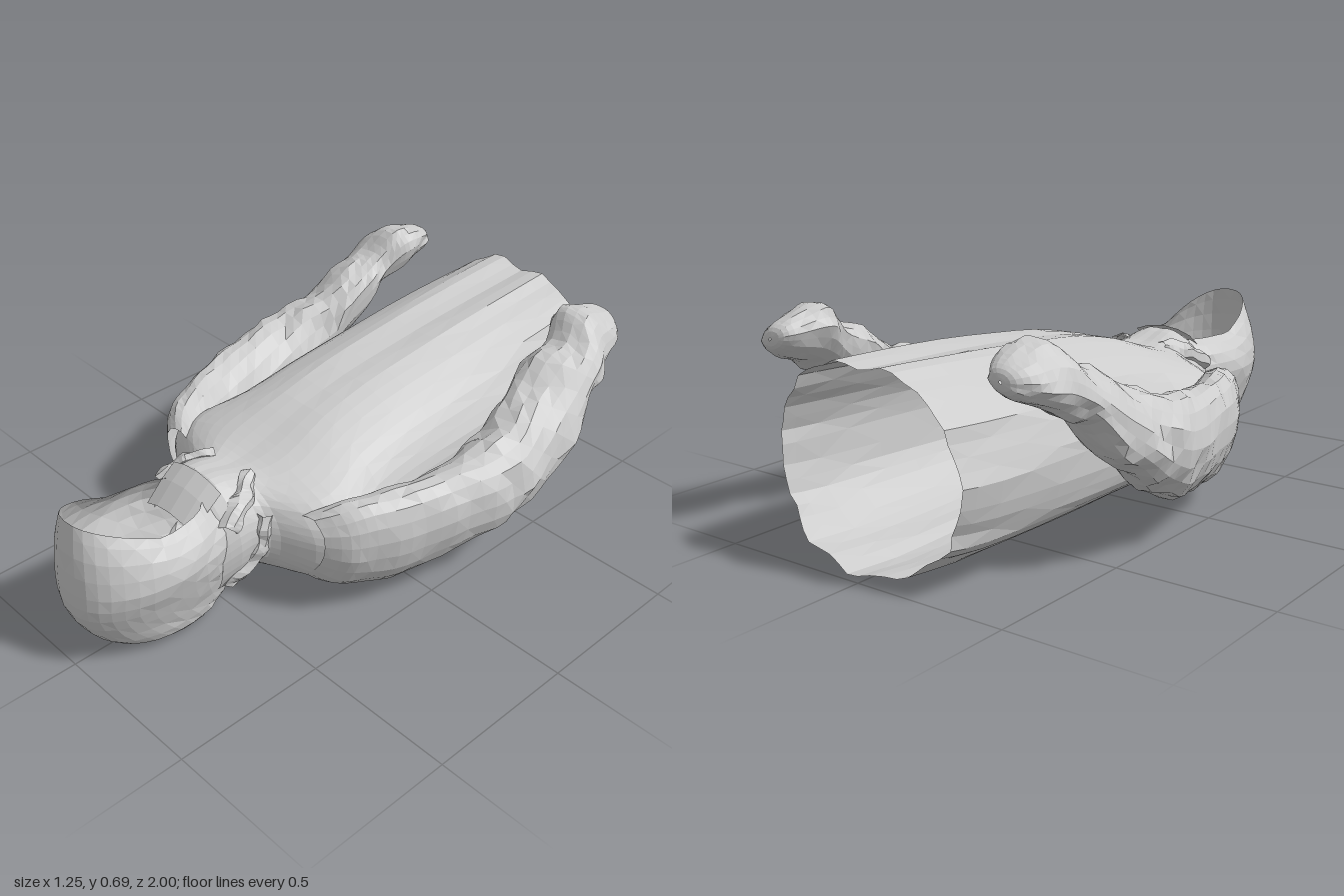
import * as THREE from 'three';

const cloth = new THREE.MeshStandardMaterial({ color: 0xcccccc, flatShading: true, side: THREE.DoubleSide });

// Smooth, repeatable crumple in about -1..1
const crumple = (a, b, c) =>
  (Math.sin(a * 3.1 + b * 5.3 + c) + Math.sin(a * 7.7 - b * 4.1 + c * 2.3) + Math.sin(a * 1.7 + b * 11.9 - c)) / 3;

const signedPow = (v, e) => Math.sign(v) * Math.abs(v) ** e;

// Catmull-Rom resampling of rows of section numbers
function resample(rows, steps) {
  const out = [];
  const at = i => rows[Math.min(rows.length - 1, Math.max(0, i))];
  for (let k = 0; k <= (rows.length - 1) * steps; k++) {
    const i = Math.floor(k / steps), t = (k % steps) / steps;
    const [p, q, r, s] = [at(i - 1), at(i), at(i + 1), at(i + 2)];
    out.push(q.map((v, c) => v + 0.5 * t * (r[c] - p[c] +
      t * (2 * p[c] - 5 * v + 4 * r[c] - s[c] + t * (3 * (v - r[c]) + s[c] - p[c])))));
  }
  return out;
}

// Skin a list of point rings; each ring repeats its first point when it is closed
function loft(name, rings, flip = false) {
  const n = rings[0].length, index = [];
  for (let i = 0; i < rings.length - 1; i++) {
    for (let j = 0; j < n - 1; j++) {
      const a = i * n + j, b = a + 1, d = a + n, c = d + 1;
      if (flip) index.push(a, c, b, a, d, c);
      else if ((i + j) % 2) index.push(a, b, c, a, c, d);
      else index.push(a, b, d, b, c, d);
    }
  }
  const indexed = new THREE.BufferGeometry();
  indexed.setAttribute('position', new THREE.Float32BufferAttribute(rings.flat(2), 3));
  indexed.setIndex(index);
  const geometry = indexed.toNonIndexed();
  geometry.computeVertexNormals();
  const mesh = new THREE.Mesh(geometry, cloth);
  mesh.name = name;
  return mesh;
}

// Body tube from open hem over the shoulders to the neck:
// z, half width, bottom y, top y, squareness of the back (lower is squarer)
function makeTorso() {
  const rows = resample([
    [-0.965, 0.335, 0.02, 0.62, 0.78], [-0.8, 0.345, 0.004, 0.61, 0.75], [-0.55, 0.35, 0.004, 0.592, 0.7],
    [-0.3, 0.347, 0.01, 0.568, 0.65], [-0.1, 0.345, 0.018, 0.545, 0.6], [0.08, 0.355, 0.03, 0.505, 0.5],
    [0.2, 0.405, 0.045, 0.465, 0.5], [0.28, 0.405, 0.06, 0.442, 0.55], [0.34, 0.335, 0.078, 0.43, 0.65],
    [0.39, 0.235, 0.09, 0.43, 0.8], [0.43, 0.195, 0.088, 0.44, 0.9], [0.5, 0.185, 0.05, 0.455, 1],
    [0.56, 0.165, 0.03, 0.42, 1]], 2);
  const n = 48;
  const rings = rows.map(([z, w, y0, y1, square], i) => {
    const ring = [];
    const pleat = THREE.MathUtils.clamp((0.35 - z) / 1.3, 0.2, 1);
    for (let j = 0; j <= n; j++) {
      const t = (j % n) / n * Math.PI * 2, c = Math.cos(t), s = Math.sin(t);
      const fold = 1 + pleat * (0.018 * Math.sin(11 * t + z * 1.5) + 0.025 * crumple(3 * c, 2 * s + z * 0.5, 1)) - 0.015 * pleat;
      const dip = s > 0 ? 0.03 * pleat * Math.exp(-((c / 0.16) ** 2)) : 0;
      const hem = i === 0 ? 0.02 * c * c - (s < 0 ? 0.03 * s * s : 0.008) + 0.006 * Math.sin(9 * t) : 0;
      const rise = signedPow(s, s < 0 ? square : 1);
      ring.push([w * c * fold, Math.max(0, (y0 + y1) / 2 + (y1 - y0) / 2 * rise * fold - dip), z + hem]);
    }
    return ring;
  });
  return loft('torso', rings);
}

// Bent sleeve with a closed cuff: z, centre x, centre y, half width, half height
function makeSleeve(side) {
  const rows = resample([
    [-0.895, 0.42, 0.6, 0.004, 0.004], [-0.885, 0.42, 0.6, 0.045, 0.033],
    [-0.84, 0.425, 0.597, 0.075, 0.06], [-0.76, 0.43, 0.593, 0.095, 0.093],
    [-0.71, 0.445, 0.573, 0.102, 0.102], [-0.65, 0.462, 0.53, 0.096, 0.085],
    [-0.58, 0.472, 0.47, 0.112, 0.122], [-0.48, 0.482, 0.405, 0.116, 0.132],
    [-0.38, 0.488, 0.345, 0.122, 0.145], [-0.27, 0.492, 0.3, 0.126, 0.158],
    [-0.16, 0.482, 0.275, 0.12, 0.16], [-0.02, 0.452, 0.255, 0.115, 0.165],
    [0.12, 0.412, 0.245, 0.108, 0.17], [0.22, 0.37, 0.245, 0.105, 0.165],
    [0.29, 0.33, 0.245, 0.105, 0.145], [0.34, 0.28, 0.25, 0.09, 0.11]], 3);
  const n = 18;
  const rings = rows.map(([z, cx, cy, rx, ry]) => {
    const ring = [];
    const bunch = z > -0.2 ? 0.035 : 0.08;
    // Upper arm rises outward, forearm leans inward
    const shear = 0.45 * THREE.MathUtils.smoothstep(z, -0.35, 0);
    const lean = 0.4 * THREE.MathUtils.smoothstep(-z, 0.3, 0.5);
    for (let j = 0; j <= n; j++) {
      const t = (j % n) / n * Math.PI * 2;
      const f = 1 + bunch * crumple(Math.sin(t) * 1.3, z * 4 + Math.cos(t), side + 2)
        + bunch * 0.5 * Math.sin(z * 38 + 3 * Math.cos(t + side));
      const dx = rx * Math.cos(t) * f, dy = ry * Math.sin(t) * f;
      ring.push([side * (cx + dx - lean * dy), cy + dy + shear * dx, z]);
    }
    return ring;
  });
  return loft(side > 0 ? 'leftSleeve' : 'rightSleeve', rings, side < 0);
}

// Hood bowl, face opening upward: y, lift at crown, centre z, half width, half length, gap at neck
function makeHood() {
  const rows = resample([
    [0.008, 0, 0.66, 0, 0, 0], [0.01, 0, 0.66, 0.095, 0.12, 0],
    [0.035, 0.005, 0.68, 0.132, 0.205, 0.2], [0.11, 0, 0.69, 0.148, 0.262, 0.6],
    [0.2, 0, 0.7, 0.176, 0.292, 0.8], [0.29, 0, 0.71, 0.2, 0.285, 0.8],
    [0.36, 0.06, 0.72, 0.178, 0.265, 0.7], [0.41, 0.11, 0.74, 0.13, 0.228, 0.45]], 2);
  const n = 28;
  const rings = rows.map(([y, lift, cz, hx, hz, gap]) => {
    const ring = [];
    for (let j = 0; j <= n; j++) {
      const t = (j / n * 2 - 1) * (Math.PI - gap);
      const c = Math.cos(t), s = Math.sin(t);
      const f = 1 + 0.03 * crumple(s * 2, y * 6 + c, 4) * (1 - c) / 1.4;
      ring.push([hx * signedPow(s, 0.85) * f, y + lift * Math.max(0, c), cz + hz * c * f]);
    }
    return ring;
  });
  return loft('hood', rings);
}

// Bunched cloth sunk into the seam between hood, neck and shoulder
function makeFold(side, name, points, radius) {
  const path = new THREE.CatmullRomCurve3(points.map(([x, y, z]) => new THREE.Vector3(side * x, y, z)));
  const geometry = new THREE.TubeGeometry(path, 14, radius, 7);
  const p = geometry.attributes.position;
  for (let i = 0; i < p.count; i++) {
    const [x, y, z] = [p.getX(i), p.getY(i), p.getZ(i)];
    p.setXYZ(i, x + side * 0.01 * crumple(y * 9, z * 9, 1), y + 0.01 * crumple(z * 12, x * 9, 2), z + 0.015 * crumple(y * 11, x * 7, 3));
  }
  geometry.computeVertexNormals();
  const mesh = new THREE.Mesh(geometry, cloth);
  mesh.name = name;
  return mesh;
}

// Chin flap sloping down into the hood opening
function makeChinFlap() {
  const rings = [[0.51, 0.458], [0.56, 0.42], [0.62, 0.36]].map(([z, y]) =>
    [0.11, 0.06, 0, -0.06, -0.11].map(x => [x, y - x * x * 2, z]));
  return loft('chinFlap', rings);
}

export function createModel() {
  const model = new THREE.Group();
  model.name = 'hoodedJacket';
  model.add(makeTorso(), makeHood(), makeChinFlap());
  for (const side of [1, -1]) {
    const label = side > 0 ? 'left' : 'right';
    model.add(
      makeSleeve(side),
      makeFold(side, label + 'CollarFold',
        [[0.08, 0.41, 0.37], [0.11, 0.4, 0.42], [0.14, 0.38, 0.47], [0.16, 0.34, 0.53]], 0.03),
      makeFold(side, label + 'NeckFold',
        [[0.18, 0.34, 0.4], [0.18, 0.26, 0.42], [0.165, 0.19, 0.46], [0.13, 0.12, 0.52]], 0.03));
  }
  return model;
}
